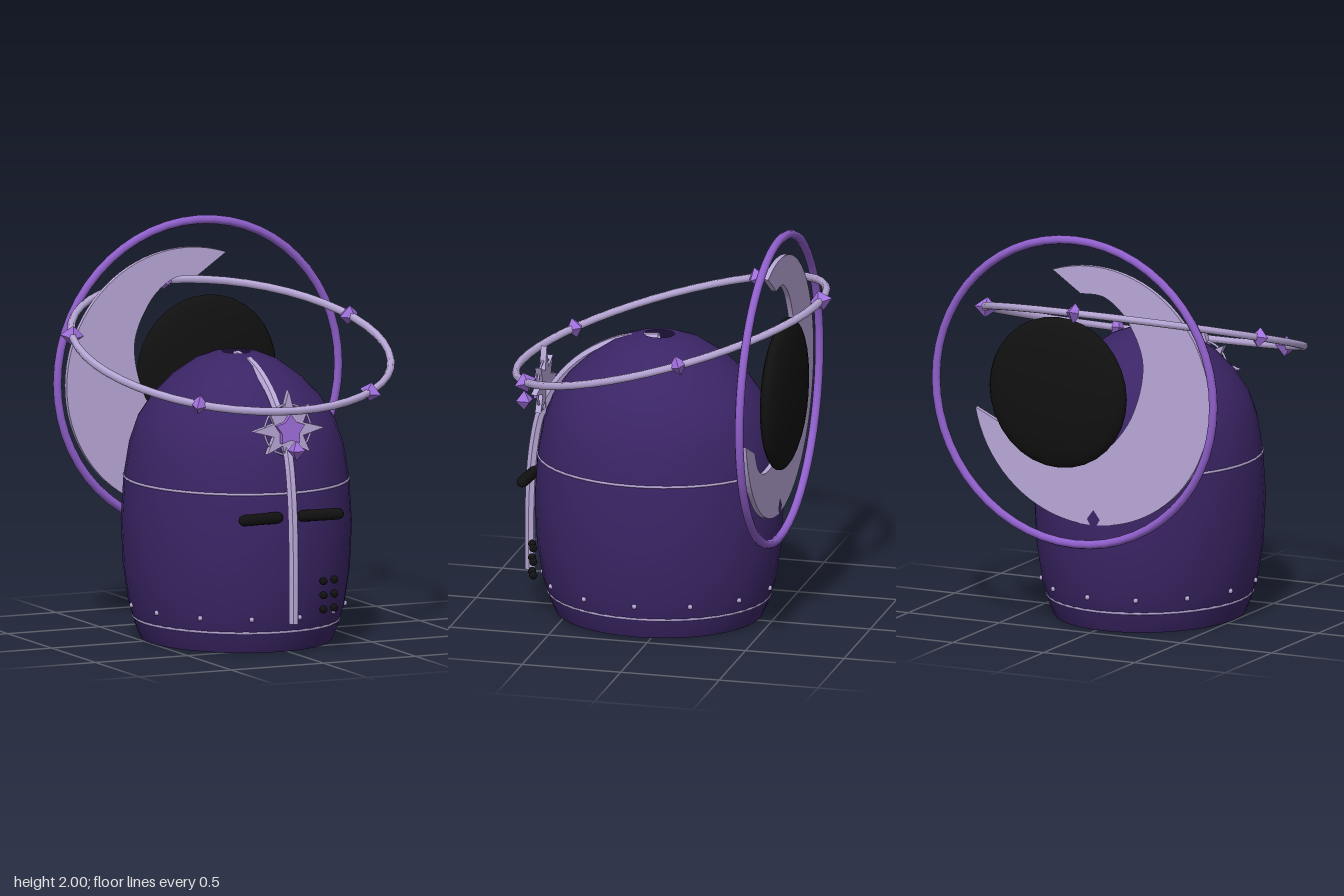
import * as THREE from 'three';

const V = (x, y, z) => new THREE.Vector3(x, y, z);
const mat = (color, extra = {}) => new THREE.MeshStandardMaterial({ color, ...extra });
const CX = -0.035, CZ = 0.08, DEPTH = 1.11; // helmet axis and front-to-back stretch

export function createModel() {
  const group = new THREE.Group();
  const steel = mat(0x3b2566, { side: THREE.DoubleSide });
  const trim = mat(0xb9a8d8);
  const trimFlat = mat(0xb9a8d8, { flatShading: true });
  const violet = mat(0x9060cc);
  const gemMat = mat(0xa070dc, { flatShading: true });
  const black = mat(0x111111);

  function add(name, geometry, material, x = 0, y = 0, z = 0, parent = group) {
    const mesh = new THREE.Mesh(geometry, material);
    mesh.name = name;
    mesh.position.set(x, y, z);
    parent.add(mesh);
    return mesh;
  }

  // Helmet shell: open below, with a small hole at the crown
  const profile = [[0.46, 0], [0.485, 0.06], [0.52, 0.18], [0.545, 0.36], [0.555, 0.58], [0.542, 0.8],
    [0.515, 0.97], [0.475, 1.09], [0.405, 1.2], [0.31, 1.3], [0.2, 1.38], [0.11, 1.415], [0.068, 1.42]]
    .map(([r, y]) => new THREE.Vector2(r, y));
  add('helmetShell', new THREE.LatheGeometry(profile, 40), steel, CX, 0, CZ).scale.z = DEPTH;

  // Thin trim bands, almost flush with the shell
  for (const [y, r] of [[0.8, 0.539], [0.105, 0.495]]) {
    const band = add('trimBand', new THREE.TorusGeometry(r, 0.007, 6, 48).rotateX(Math.PI / 2), trim, CX, y, CZ);
    band.scale.z = DEPTH;
  }

  // Rivets around the lower edge
  const rivetGeo = new THREE.SphereGeometry(0.013, 8, 6);
  for (let i = 0; i < 13; i++) {
    const a = 0.14 + (i / 13) * Math.PI * 2;
    add('rivet', rivetGeo, trim, CX + Math.sin(a) * 0.52, 0.175, CZ + Math.cos(a) * 0.52 * DEPTH);
  }

  // Eye slits, outer ends slightly forward
  for (const s of [-1, 1]) {
    const eye = add('eyeSlit', new THREE.CapsuleGeometry(0.029, 0.185, 4, 8).rotateZ(Math.PI / 2),
      black, CX + s * 0.162, 0.685, 0.7);
    eye.rotation.y = -s * 0.07;
  }

  // Breathing holes on one side
  for (let col = 0; col < 2; col++)
    for (let row = 0; row < 3; row++)
      add('breathHole', new THREE.SphereGeometry(0.02, 10, 8), black,
        0.155 + col * 0.07, 0.21 + row * 0.07, 0.675 - col * 0.025);

  // Raised ridge from chin to crown
  const ridge = new THREE.CatmullRomCurve3([[0.16, 0.735], [0.5, 0.735], [0.8, 0.715], [1.0, 0.67],
    [1.15, 0.585], [1.28, 0.455], [1.375, 0.27], [1.4, 0.08]].map(([y, z]) => V(CX, y, z)));
  add('frontRidge', new THREE.TubeGeometry(ridge, 32, 0.026, 6), 
    mat(0xb9a8d8, { flatShading: true, side: THREE.DoubleSide }));

  // Star badge on the brow
  function star(points, outer, inner, depth, turn = 0, alternate = 1) {
    const shape = new THREE.Shape();
    for (let i = 0; i < points * 2; i++) {
      const r = i % 2 ? inner : (i % 4 ? outer * alternate : outer);
      const a = Math.PI / 2 + turn + (i * Math.PI) / points;
      shape[i ? 'lineTo' : 'moveTo'](r * Math.cos(a), r * Math.sin(a));
    }
    shape.closePath();
    return new THREE.ExtrudeGeometry(shape, { depth, bevelEnabled: false });
  }
  const badge = new THREE.Group();
  badge.name = 'browStar';
  badge.position.set(CX, 1.115, 0.65);
  group.add(badge);
  add('starRays', star(8, 0.195, 0.085, 0.03, 0, 0.84), trimFlat, 0, 0, 0, badge);
  add('starRing', new THREE.TorusGeometry(0.125, 0.006, 6, 24), trim, 0, 0, 0.015, badge);
  add('starCentre', star(5, 0.08, 0.05, 0.035), gemMat, 0, 0, 0.02, badge);
  add('browGem', new THREE.OctahedronGeometry(0.05).rotateY(Math.PI / 4).scale(0.9, 1, 1),
    gemMat, 0, -0.092, 0.115, badge);

  // Tilted halo carrying five gems
  const halo = new THREE.Group();
  halo.name = 'halo';
  halo.position.set(CX, 1.44, 0.02);
  halo.rotation.x = 0.277;
  group.add(halo);
  add('haloRing', new THREE.TorusGeometry(0.79, 0.02, 6, 48).rotateX(Math.PI / 2), trim, 0, 0, 0, halo);
  for (let i = 0; i < 5; i++) {
    const a = Math.PI + (i / 5) * Math.PI * 2;
    const gem = add('haloGem', new THREE.OctahedronGeometry(0.06).scale(0.8, 0.85, 1),
      gemMat, Math.sin(a) * 0.79, 0, Math.cos(a) * 0.79, halo);
    gem.rotation.y = a;
  }

  // Large upright ring behind the helmet
  add('backRing', new THREE.TorusGeometry(0.763, 0.022, 8, 56), violet, 0.057, 1.213, -0.553);

  // Crescent plate, drawn with its opening along +x and then turned
  const crescent = new THREE.Shape();
  crescent.absarc(0, 0, 0.65, 0.71, Math.PI * 2 - 0.71, false);
  const half = [[0.307, 0.409], [0.181, 0.47], [0.01, 0.432], [-0.163, 0.284]];
  crescent.lineTo(half[0][0], -half[0][1]);
  crescent.splineThru([
    ...half.slice(1).map(([x, y]) => new THREE.Vector2(x, -y)),
    new THREE.Vector2(-0.235, 0),
    ...half.slice().reverse().map(([x, y]) => new THREE.Vector2(x, y)),
  ]);
  crescent.closePath();
  const crescentGeo = new THREE.ExtrudeGeometry(crescent, { depth: 0.025, bevelEnabled: false, curveSegments: 32 });
  add('crescent', crescentGeo, mat(0xb9a8d8), -0.025, 1.2, -0.533).rotation.z = Math.PI / 6;

  // Dark flattened disc
  add('darkDisc', new THREE.SphereGeometry(0.378, 24, 16), black, 0.125, 1.215, -0.598).scale.z = 0.2;

  return group;
}
